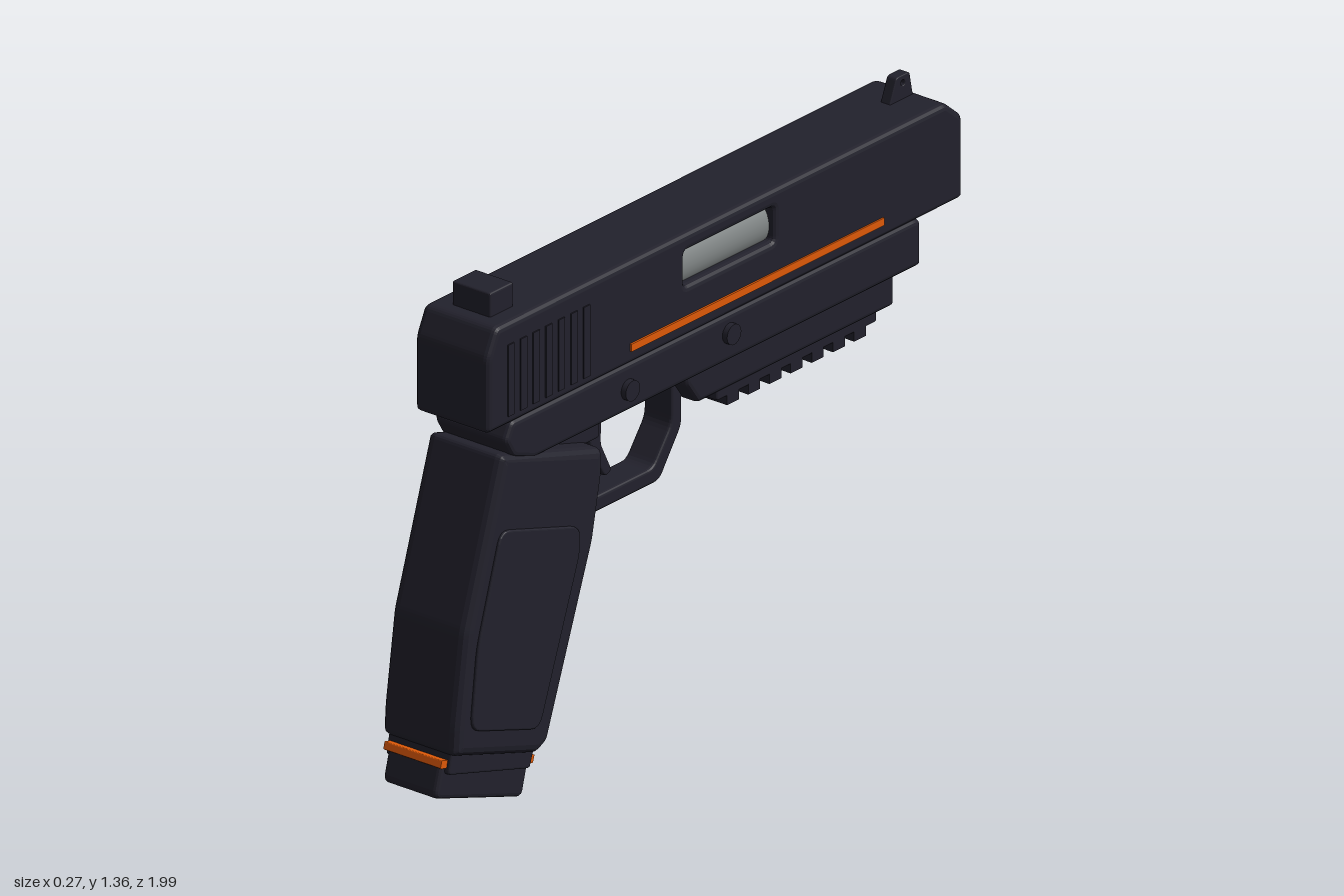
import * as THREE from 'three';

const mat = (name, color, side = THREE.FrontSide) => {
  const m = new THREE.MeshStandardMaterial({ color, side });
  m.name = name;
  return m;
};

export function createModel() {
  const dark = mat('dark polymer', 0x22212c);
  const orange = mat('orange accent', 0xe05a08);
  const steel = mat('steel', 0x808585);
  const black = mat('bore black', 0x111116);

  const model = new THREE.Group();
  model.name = 'pistol';
  const body = new THREE.Group();
  body.name = 'body';
  body.position.x = 0.004;
  model.add(body);

  const add = (name, geometry, material, x = 0, y = 0, z = 0) => {
    const mesh = new THREE.Mesh(geometry, material);
    mesh.name = name;
    mesh.position.set(x, y, z);
    body.add(mesh);
    return mesh;
  };
  const box = (name, material, w, h, d, x, y, z) =>
    add(name, new THREE.BoxGeometry(w, h, d), material, x, y, z);

  // Closed outline in [z, y] with softened corners
  const outline = (pts, r, Type = THREE.Shape) => {
    const s = new Type();
    const v = pts.map(p => new THREE.Vector2(...p));
    v.forEach((p, i) => {
      const toward = q => {
        const d = q.clone().sub(p);
        return p.clone().add(d.setLength(Math.min(r, d.length() * 0.45)));
      };
      const a = toward(v[(i + v.length - 1) % v.length]);
      const b = toward(v[(i + 1) % v.length]);
      if (i === 0) s.moveTo(a.x, a.y); else s.lineTo(a.x, a.y);
      s.quadraticCurveTo(p.x, p.y, b.x, b.y);
    });
    s.closePath();
    return s;
  };

  // Side profile extruded symmetrically across x, edges bevelled inwards
  const slab = (name, material, pts, half, bevel, r = 0.01, hole) => {
    const shape = outline(pts, r);
    if (hole) shape.holes.push(outline(hole, 0.012, THREE.Path));
    const depth = 2 * (half - bevel);
    const g = new THREE.ExtrudeGeometry(shape, {
      depth, curveSegments: 4, bevelEnabled: bevel > 0, bevelSize: bevel,
      bevelThickness: bevel, bevelOffset: -bevel, bevelSegments: 3,
    });
    g.translate(0, 0, -depth / 2);
    g.rotateY(-Math.PI / 2);
    return add(name, g, material);
  };
  const rect = (z0, z1, y0, y1) => [[z0, y0], [z1, y0], [z1, y1], [z0, y1]];

  // Slide with an ejection port open on the +x side only
  slab('slide', dark,
    [[0.84, 1.03], [0.84, 1.23], [0.805, 1.302], [-0.905, 1.302], [-0.967, 1.25], [-0.967, 1.03]],
    0.116, 0.016, 0.015, rect(-0.25, 0.09, 1.163, 1.255));
  box('slide left wall', dark, 0.1, 0.135, 0.385, -0.0665, 1.209, -0.08);
  const chamber = new THREE.CylinderGeometry(0.075, 0.075, 0.4, 32).rotateX(Math.PI / 2);
  add('chamber', chamber, steel, 0.023, 1.2, -0.08);

  // Rear grip ribs and accent stripes on both sides
  for (const side of [-1, 1]) {
    for (let i = 0; i < 7; i++)
      box('slide serration', dark, 0.006, 0.19, 0.024, side * 0.1165, 1.15, 0.755 - i * 0.048);
    box('accent stripe', orange, 0.008, 0.02, 0.96, side * 0.117, 1.075, -0.18);
  }

  // Sights
  slab('rearSight', dark, rect(0.675, 0.765, 1.29, 1.365), 0.06, 0.006, 0.006);
  slab('frontSight', dark,
    [[-0.805, 1.29], [-0.9, 1.29], [-0.885, 1.365], [-0.835, 1.365]], 0.015, 0.003, 0.008,
    rect(-0.867, -0.853, 1.337, 1.351));

  // Muzzle: a ring around a dark bore
  const muzzle = [[0.028, -0.03], [0.028, 0.03], [0.034, 0.036], [0.048, 0.036], [0.053, 0.03], [0.053, -0.03]]
    .map(p => new THREE.Vector2(...p)).reverse();
  const ring = new THREE.LatheGeometry(muzzle, 32).rotateX(-Math.PI / 2);
  const ringMesh = add('muzzle', ring, dark, 0, 1.163, -0.96);
  ringMesh.material = mat('dark polymer open', 0x22212c, THREE.DoubleSide);
  const bore = new THREE.CircleGeometry(0.03, 24).rotateY(Math.PI);
  add('bore', bore, black, 0, 1.163, -0.97);

  // Frame, dust cover and accessory rail
  slab('frame', dark,
    [[0.745, 1.032], [0.77, 0.985], [0.74, 0.935], [0.66, 0.905], [-0.81, 0.905], [-0.81, 1.025], [-0.79, 1.032]],
    0.114, 0.014, 0.012);
  slab('dustCover', dark,
    [[0.055, 0.92], [0.055, 0.88], [0.01, 0.817], [-0.735, 0.817], [-0.735, 0.92]], 0.092, 0.014);
  slab('rail', dark, rect(-0.695, -0.085, 0.782, 0.83), 0.07, 0.006);
  for (let i = 0; i < 7; i++)
    box('rail tooth', dark, 0.14, 0.03, 0.045, 0, 0.774, -0.147 - i * 0.0805);

  // Trigger guard and trigger
  slab('triggerGuard', dark, [
    [0.46, 0.63], [0.1, 0.63], [0.015, 0.75], [0.015, 0.91], [0.055, 0.91],
    [0.055, 0.765], [0.125, 0.672], [0.46, 0.672],
  ], 0.045, 0.008, 0.02);
  slab('trigger', dark, [
    [0.355, 0.92], [0.355, 0.83], [0.335, 0.77], [0.29, 0.7], [0.262, 0.71],
    [0.305, 0.795], [0.3, 0.92],
  ], 0.03, 0.006, 0.015);
  slab('triggerHousing', dark, rect(0.345, 0.53, 0.835, 0.92), 0.06, 0.008);

  // Grip with a raised panel on each side
  slab('grip', dark, [
    [0.785, 0.957], [0.4, 0.842], [0.4, 0.78], [0.435, 0.61], [0.61, 0.135],
    [0.65, 0.115], [0.965, 0.215], [0.96, 0.29], [0.925, 0.53],
  ], 0.12, 0.025, 0.015);
  slab('grip panels', dark, [
    [0.8, 0.765], [0.5, 0.672], [0.5, 0.605], [0.655, 0.185], [0.915, 0.27], [0.89, 0.48],
  ], 0.127, 0.005, 0.035);

  // Magazine foot
  slab('magazine collar', dark,
    [[0.955, 0.23], [0.64, 0.135], [0.66, 0.075], [0.97, 0.165]], 0.1, 0.006);
  slab('magazine accent', orange,
    [[0.984, 0.207], [0.99, 0.187], [0.638, 0.08], [0.632, 0.1]], 0.09, 0, 0.003);
  slab('magazine base', dark,
    [[1.002, 0.107], [0.67, -0.003], [0.64, 0.108], [0.975, 0.205]], 0.085, 0.012, 0.02);

  // Pins through the frame
  for (const [z, y] of [[0.305, 0.965], [-0.08, 0.98]])
    add('pin', new THREE.CylinderGeometry(0.027, 0.027, 0.258, 24).rotateZ(Math.PI / 2), dark, 0, y, z);

  // Controls on the -x side
  slab('slideRelease', dark, rect(0.13, 0.31, 0.985, 1.035), 0.018, 0.005).position.x = -0.12;
  slab('magazineRelease', dark, rect(0.33, 0.39, 0.83, 0.887), 0.03, 0.006).position.x = -0.114;
  slab('magazineRelease stem', dark, rect(0.34, 0.44, 0.835, 0.882), 0.04, 0.005).position.x = -0.08;

  return model;
}
